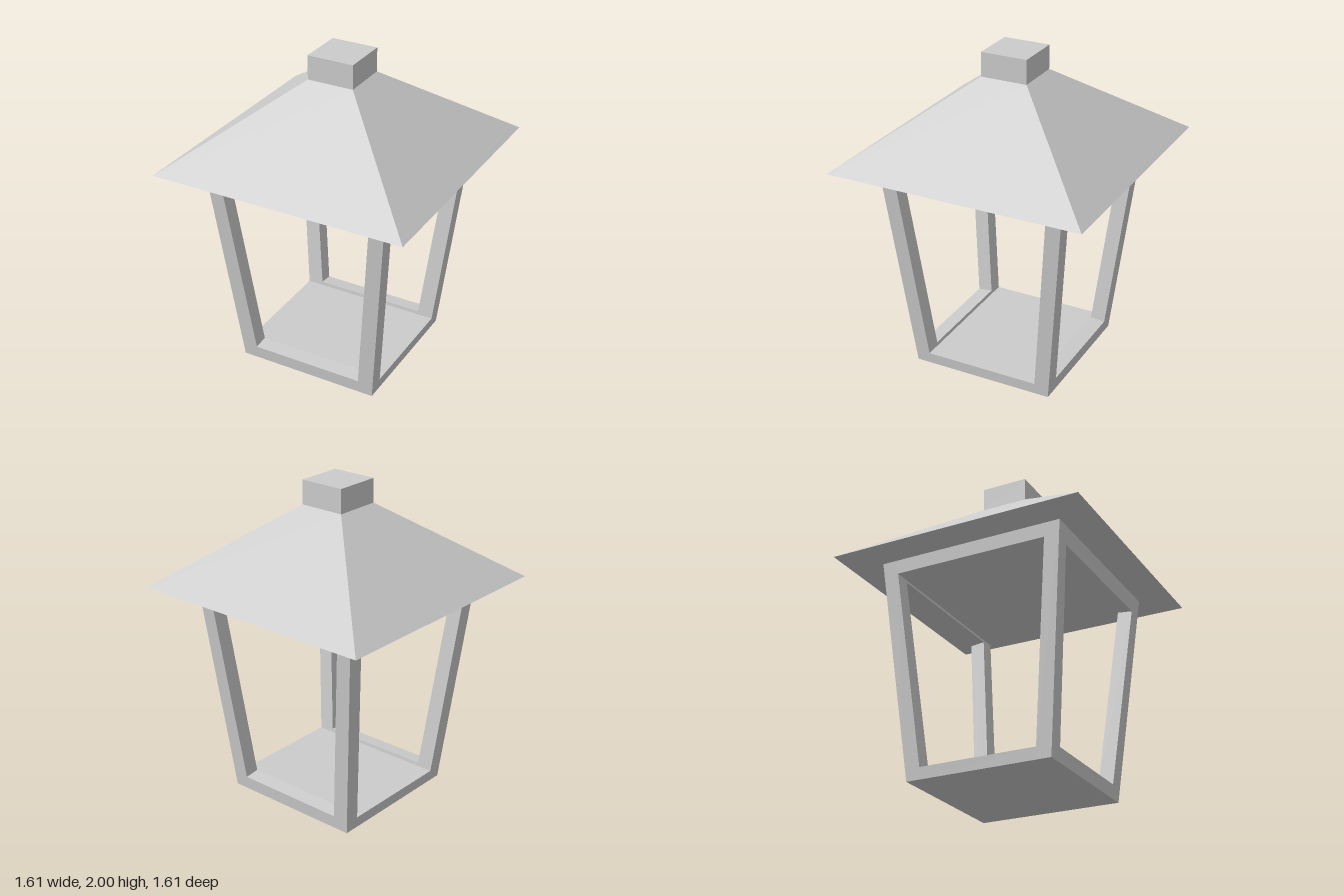
import * as THREE from 'three';

const material = new THREE.MeshStandardMaterial({ color: 0xcccccc, flatShading: true });

const BODY_TOP = 1.36;
const SLOPE = 0.1; // outward lean of the body walls per unit of height
const WALL = 0.095; // thickness of the front and back frames
const outer = (y) => 0.455 + SLOPE * y; // half width of the body at a height

function addMesh(group, name, geometry) {
  const mesh = new THREE.Mesh(geometry, material);
  mesh.name = name;
  group.add(mesh);
  return mesh;
}

// Box whose lower and upper rectangles have their own half sizes
function taperedBox(y0, y1, x0, z0, x1, z1) {
  const geometry = new THREE.BoxGeometry(2, 1, 2);
  const p = geometry.attributes.position;
  for (let i = 0; i < p.count; i++) {
    const top = p.getY(i) > 0;
    p.setXYZ(i, p.getX(i) * (top ? x1 : x0), top ? y1 : y0, p.getZ(i) * (top ? z1 : z0));
  }
  geometry.computeVertexNormals();
  return geometry;
}

function trapezoid(PathType, y0, y1, w0, w1) {
  return new PathType([
    new THREE.Vector2(-w0, y0), new THREE.Vector2(w0, y0),
    new THREE.Vector2(w1, y1), new THREE.Vector2(-w1, y1),
  ]);
}

// Leaning window frame: two posts, sill and lintel in one piece
function frameGeometry() {
  const shape = trapezoid(THREE.Shape, 0, BODY_TOP, outer(0), outer(BODY_TOP));
  shape.holes.push(trapezoid(THREE.Path, 0.085, 1.248, 0.362, 0.485));
  const geometry = new THREE.ExtrudeGeometry(shape, { depth: WALL, bevelEnabled: false });
  const p = geometry.attributes.position;
  for (let i = 0; i < p.count; i++) {
    const y = p.getY(i);
    const inside = p.getZ(i) < WALL / 2;
    const isOpening = y > 0.01 && y < BODY_TOP - 0.01;
    // The opening is cut square to the leaning wall, so it rises inwards
    const newY = inside && isOpening ? y + 0.01 : y;
    p.setY(i, newY);
    p.setZ(i, outer(newY) - (inside ? WALL : 0));
  }
  geometry.computeVertexNormals();
  return geometry;
}

// Slab spanning between the two frames
function slab(y0, y1) {
  return taperedBox(y0, y1, outer(y0), outer(y0) - WALL, outer(y1), outer(y1) - WALL);
}

export function createModel() {
  const group = new THREE.Group();
  group.name = 'lantern';

  // Body
  const frame = frameGeometry();
  addMesh(group, 'frontFrame', frame);
  addMesh(group, 'backFrame', frame).rotation.y = Math.PI;
  addMesh(group, 'floor', slab(0, 0.072));
  addMesh(group, 'ceiling', slab(1.275, BODY_TOP));

  // Hipped roof and cap
  addMesh(group, 'roof', taperedBox(BODY_TOP, 1.85, 0.805, 0.805, 0.147, 0.147));
  addMesh(group, 'cap', taperedBox(1.85, 2, 0.147, 0.147, 0.147, 0.147));

  return group;
}
